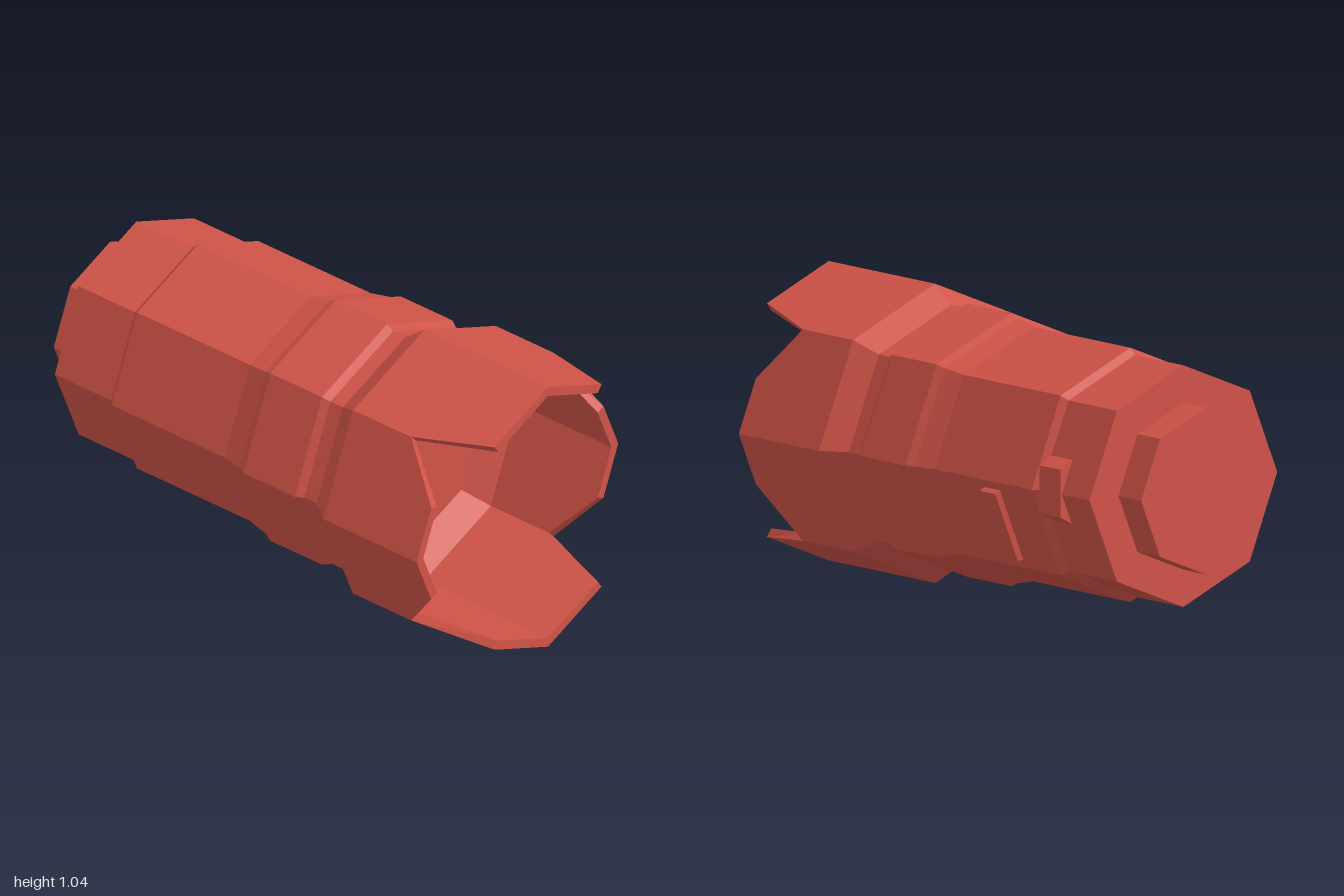
import * as THREE from 'three';

const CY = 0.52; // height of the lens axis
const HOOD_R = 0.52, HOOD_INNER_R = 0.485;

// Eight-sided turned part along z, from [radius, z] pairs running back to front
function turned(name, profile, material) {
  const geo = new THREE.LatheGeometry(profile.map(([r, z]) => new THREE.Vector2(r, z)), 8);
  geo.rotateX(Math.PI / 2);
  const flat = geo.toNonIndexed();
  flat.computeVertexNormals();
  const mesh = new THREE.Mesh(flat, material);
  mesh.name = name;
  return mesh;
}

// Unit octagon corner k
const corner = k => new THREE.Vector2(Math.cos(k * Math.PI / 4), Math.sin(k * Math.PI / 4));

// Rim of the petal hood: points on a unit octagon with the z of the cut edge
function hoodRim() {
  const rim = [];
  for (let k = 0; k < 8; k += 2) {
    const side = k % 4 === 0;
    const tip = side ? 0.86 : 1, f = side ? 0.5 : 0.75;
    rim.push({ p: corner(k - 1), z: 0.70 });
    rim.push({ p: corner(k).lerp(corner(k - 1), f), z: tip });
    rim.push({ p: corner(k), z: tip });
    rim.push({ p: corner(k).lerp(corner(k + 1), f), z: tip });
  }
  return rim;
}

// Hood shell: rows of [radius, z]; a null z follows the cut rim
function hoodGeometry(rows) {
  const rim = hoodRim(), pos = [];
  const point = ([r, z], i) => {
    const q = rim[i % rim.length];
    return [q.p.x * r, q.p.y * r, z === null ? q.z : z];
  };
  for (let j = 0; j < rows.length - 1; j++) {
    for (let i = 0; i < rim.length; i++) {
      const a = point(rows[j], i), b = point(rows[j], i + 1);
      const c = point(rows[j + 1], i + 1), d = point(rows[j + 1], i);
      pos.push(...a, ...b, ...c, ...a, ...c, ...d);
    }
  }
  const geo = new THREE.BufferGeometry();
  geo.setAttribute('position', new THREE.Float32BufferAttribute(pos, 3));
  geo.computeVertexNormals();
  return geo;
}

// Box whose outer (+x) face is scaled down to give sloping sides
function bevelBox(name, w, h, d, sy, sz, material) {
  const box = new THREE.BoxGeometry(w, h, d);
  const p = box.attributes.position;
  for (let i = 0; i < p.count; i++) {
    if (p.getX(i) > 0) p.setXYZ(i, p.getX(i), p.getY(i) * sy, p.getZ(i) * sz);
  }
  const geo = box.toNonIndexed();
  geo.computeVertexNormals();
  const mesh = new THREE.Mesh(geo, material);
  mesh.name = name;
  return mesh;
}

export function createModel() {
  const model = new THREE.Group();
  model.name = 'lens';
  const red = new THREE.MeshStandardMaterial({ color: 0xd05348 });
  red.name = 'red';

  const body = new THREE.Group();
  body.name = 'body';
  body.position.y = CY;
  model.add(body);

  // Rear mount
  body.add(turned('mount', [[0, -1], [0.29, -1], [0.29, -0.88]], red));

  // Barrel with its raised focus ring and flared neck
  body.add(turned('barrel', [
    [0, -0.88], [0.42, -0.88], [0.42, -0.623], [0.442, -0.6], [0.442, -0.085],
    [0.46, 0], [0.475, 0.03], [0.475, 0.265], [0.458, 0.293], [0.458, 0.35], [HOOD_R, 0.435],
  ], red));

  // Petal hood: outer wall, cut rim, inner wall, chamfer and front glass
  const hood = new THREE.Mesh(hoodGeometry([
    [HOOD_R, 0.435], [HOOD_R, null], [HOOD_INNER_R, null],
    [HOOD_INNER_R, 0.435], [0.405, 0.35], [0, 0.35],
  ]), red);
  hood.name = 'petalHood';
  body.add(hood);

  // Release catch on the left side of the rear collar
  const latch = bevelBox('catch', 0.055, 0.225, 0.112, 0.74, 1, red);
  latch.position.set(0.398, 0.003, -0.678);
  body.add(latch);

  // Switch plate lying on the lower left facet
  const plate = bevelBox('switchPlate', 0.04, 0.28, 0.092, 0.95, 0.85, red);
  plate.position.set(0.379, -0.155, -0.375);
  plate.rotation.z = -Math.PI / 8;
  body.add(plate);

  return model;
}
